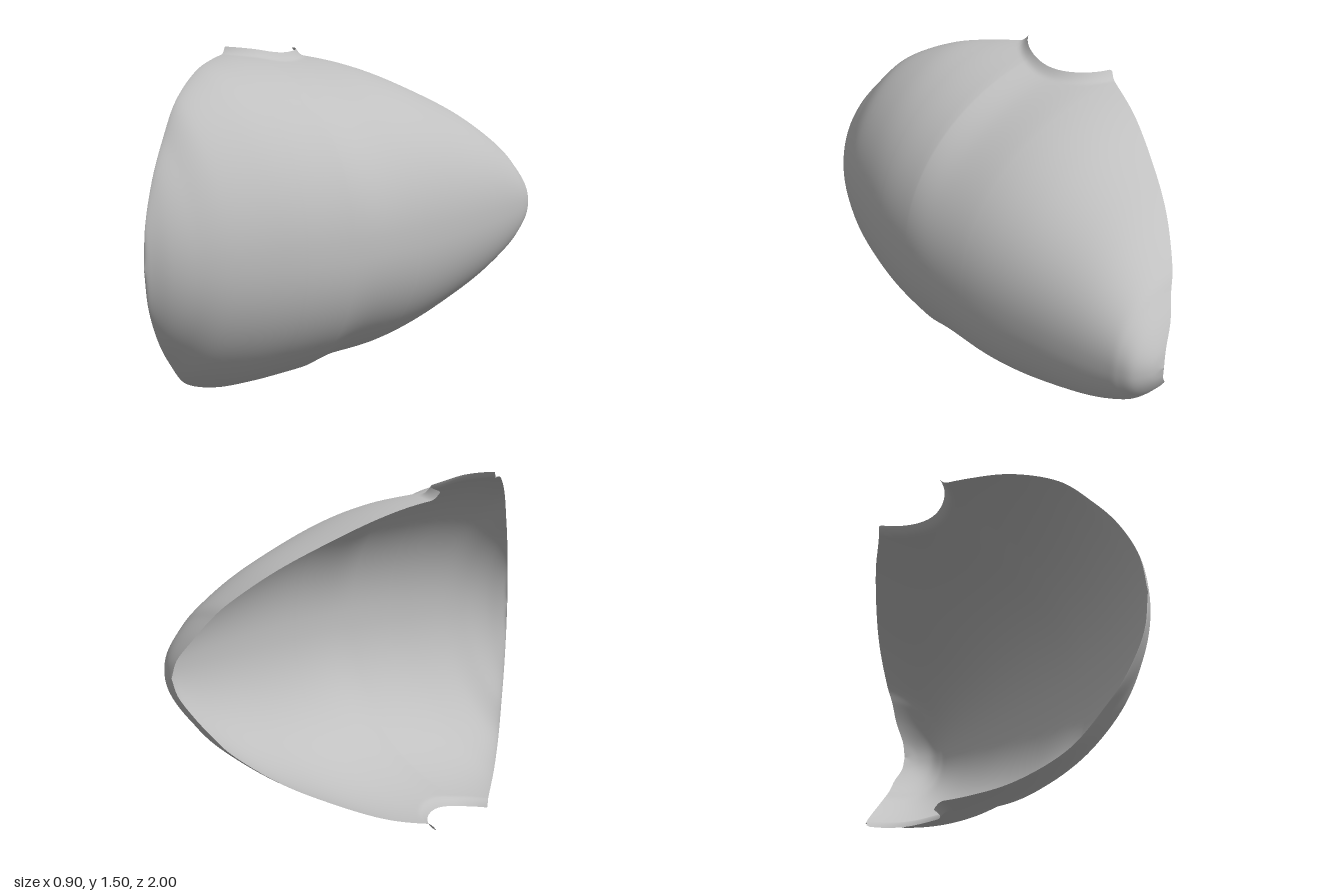
import * as THREE from 'three';

// Stations along the shell: [z, half height, x of the rim, x of the outer crest]
const STATIONS = [
  [-1, 0, 0.135, 0.14], [-0.985, 0.075, 0.115, 0.205], [-0.95, 0.155, 0.06, 0.26],
  [-0.9, 0.235, 0.01, 0.288], [-0.845, 0.31, -0.05, 0.305], [-0.71, 0.425, -0.155, 0.34],
  [-0.55, 0.52, -0.25, 0.375], [-0.34, 0.62, -0.355, 0.412], [-0.15, 0.675, -0.43, 0.435],
  [0.07, 0.705, -0.53, 0.447], [0.24, 0.718, -0.405, 0.44], [0.41, 0.713, -0.272, 0.42],
  [0.57, 0.68, -0.15, 0.385], [0.73, 0.59, -0.027, 0.34], [0.84, 0.455, 0.058, 0.295],
  [0.92, 0.325, 0.119, 0.25], [0.98, 0.165, 0.165, 0.2], [1, 0, 0.18, 0.18],
];
const MID_Y = 0.745;
const NOTCH = { x: -0.49, z: 0.115, r: 0.228 }; // round cut-out at top and bottom
const LIP = { width: 0.04, height: 0.03 };      // flared edge around the cut-out
const HALF = 48;                                // strips from the crest to each rim

function createShellGeometry() {
  const outline = new THREE.CatmullRomCurve3(
    STATIONS.map(([z, h]) => new THREE.Vector3(z, h, 0)), false, 'catmullrom');
  const depth = new THREE.CatmullRomCurve3(
    STATIONS.map(([z, , rim, crest]) => new THREE.Vector3(z, rim, crest)), false, 'catmullrom');

  // Finer sections where the cut-outs are
  const params = [];
  const last = STATIONS.length - 1;
  for (let s = 0; s < last; s++) {
    const steps = s >= 8 && s <= 10 ? 40 : 10;
    for (let k = 0; k < steps; k++) params.push((s + k / steps) / last);
  }
  params.push(1);

  const positions = [];
  const indices = [];
  const cols = 2 * HALF + 1;
  params.forEach((u, i) => {
    const { x: z, y: h } = outline.getPoint(u);
    const { y: rim, z: crest } = depth.getPoint(u);

    // Full oval sections, flattening toward the cut front edge
    const front = THREE.MathUtils.clamp((z - 0.2) / 0.8, 0, 1);
    const n = 2.2 - 0.2 * front;
    const p = 0.4545 + 0.4 * front;

    // Stop the section at the cut-out
    const dz = z - NOTCH.z;
    let phiMax = Math.PI / 2;
    if (Math.abs(dz) < NOTCH.r) {
      const edge = NOTCH.x + Math.sqrt(NOTCH.r ** 2 - dz ** 2);
      if (edge > rim) phiMax = Math.acos(((edge - rim) / (crest - rim)) ** (0.5 / p));
    }

    for (let j = 0; j < cols; j++) {
      const v = (j - HALF) / HALF;
      const phi = phiMax * (1 - (1 - Math.abs(v)) ** 1.5);
      const x = rim + (crest - rim) * Math.max(0, Math.cos(phi)) ** (2 * p);
      let dy = Math.max(0, h) * Math.sin(phi) ** (2 / n);
      const gap = Math.hypot(x - NOTCH.x, dz) - NOTCH.r;
      dy += LIP.height * THREE.MathUtils.clamp(1 - gap / LIP.width, 0, 1) ** 2;
      positions.push(x, MID_Y + Math.sign(v) * dy, z);
      if (i < params.length - 1 && j < cols - 1) {
        const a = i * cols + j;
        indices.push(a, a + 1, a + cols, a + 1, a + cols + 1, a + cols);
      }
    }
  });

  const geometry = new THREE.BufferGeometry();
  geometry.setAttribute('position', new THREE.Float32BufferAttribute(positions, 3));
  geometry.setIndex(indices);
  geometry.computeVertexNormals();
  return geometry;
}

export function createModel() {
  const group = new THREE.Group();
  group.name = 'curvedCover';
  const grey = new THREE.MeshStandardMaterial({ color: 0xc0c0c0, side: THREE.DoubleSide });
  grey.name = 'light grey';
  const shell = new THREE.Mesh(createShellGeometry(), grey);
  shell.name = 'shell';
  group.add(shell);
  return group;
}
